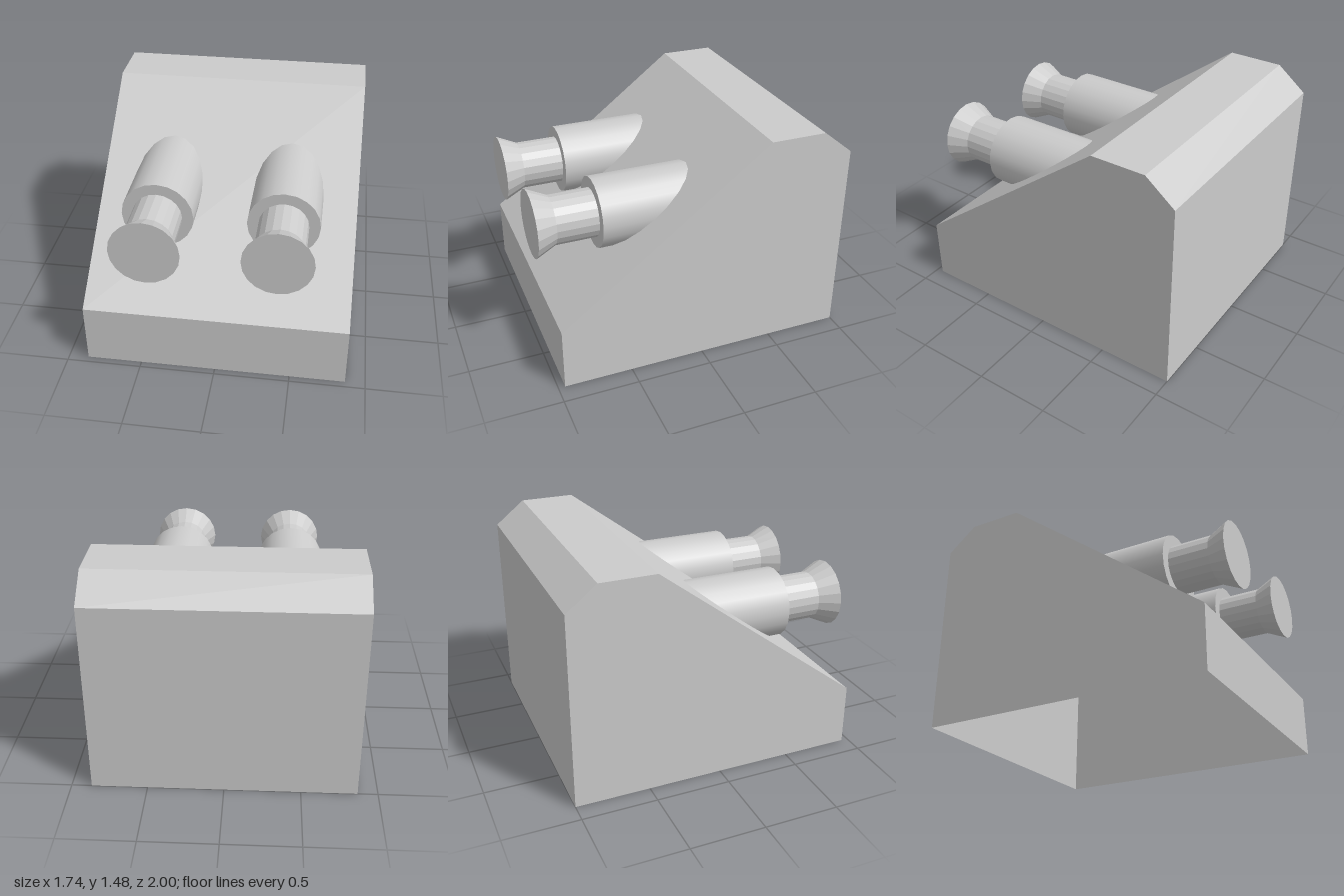
import * as THREE from 'three';

const grey = { color: 0xcccccc, side: THREE.DoubleSide };
const smooth = new THREE.MeshStandardMaterial(grey);
const flat = new THREE.MeshStandardMaterial({ ...grey, flatShading: true });

const HALF = 0.868; // half width of the housing
const SIDES = 20;

// Side outline as [z, y], from the front foot over the top to the back foot
const outline = [[0.955, 0], [0.955, 0.42], [-0.43, 1.475], [-0.8, 1.475], [-1, 1.315], [-1, 0]];

function add(parent, name, geometry, material) {
  const mesh = new THREE.Mesh(geometry, material);
  mesh.name = name;
  parent.add(mesh);
  return mesh;
}

// Sheet that runs across the width, following the outline; open underneath
function shellGeometry() {
  const pos = [];
  for (let i = 0; i < outline.length - 1; i++) {
    const [z0, y0] = outline[i], [z1, y1] = outline[i + 1];
    const a = [-HALF, y0, z0], b = [HALF, y0, z0], c = [HALF, y1, z1], d = [-HALF, y1, z1];
    pos.push(...a, ...b, ...c, ...a, ...c, ...d);
  }
  const geometry = new THREE.BufferGeometry();
  geometry.setAttribute('position', new THREE.Float32BufferAttribute(pos, 3));
  geometry.computeVertexNormals();
  return geometry;
}

// Cylinder or cone along z, from z0 (back) to z1 (front)
function rod(rBack, rFront, z0, z1) {
  return new THREE.CylinderGeometry(rFront, rBack, z1 - z0, SIDES)
    .rotateX(Math.PI / 2).translate(0, 0, (z0 + z1) / 2);
}

export function createModel() {
  const model = new THREE.Group();
  model.name = 'wedgeWithKnobs';

  // Hollow wedge housing
  const housing = new THREE.Group();
  housing.name = 'housing';
  model.add(housing);
  add(housing, 'slopedShell', shellGeometry(), flat);
  for (const side of [-1, 1]) {
    // Shape x runs along -z on the left side and along +z on the right side
    const shape = new THREE.Shape(outline.map(([z, y]) => new THREE.Vector2(-side * z, y)));
    const wall = new THREE.ShapeGeometry(shape).rotateY(side * Math.PI / 2).translate(side * HALF, 0, 0);
    add(housing, side > 0 ? 'leftWall' : 'rightWall', wall, flat);
  }

  // Two knobs: sleeve through the slope, narrow neck and flared head
  for (const [name, x] of [['rightKnob', -0.42], ['leftKnob', 0.402]]) {
    const knob = new THREE.Group();
    knob.name = name;
    knob.position.set(x, 0.957, 0);
    add(knob, 'sleeve', rod(0.237, 0.237, -0.2, 0.59), smooth);
    add(knob, 'neck', rod(0.163, 0.163, 0.55, 0.865), flat);
    add(knob, 'flaredHead', rod(0.163, 0.226, 0.865, 1), flat);
    model.add(knob);
  }
  return model;
}
